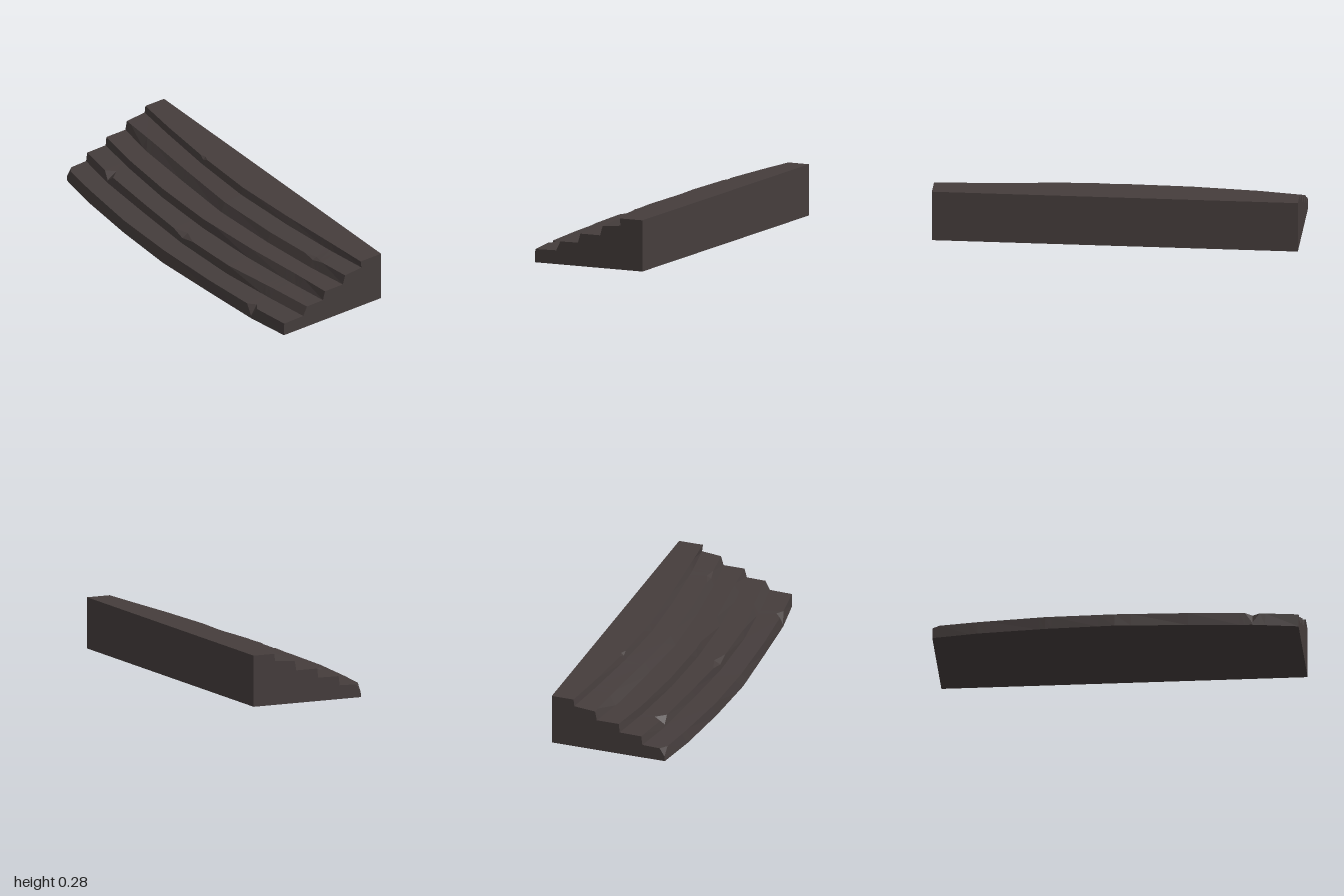
import * as THREE from 'three';

// Plan curves of each worn step, sampled at these x stations
const STATIONS = [-1, -0.75, -0.38, 0, 0.4, 0.75, 1];
const BACK = -0.371;
const STEPS = [
  { y0: 0, y1: 0.073, foot: [0.285, 0.325, 0.357, 0.371, 0.348, 0.325, 0.285], edge: [0.28, 0.315, 0.352, 0.36, 0.345, 0.318, 0.283] },
  { y0: 0.076, y1: 0.127, foot: [0.155, 0.195, 0.22, 0.24, 0.23, 0.19, 0.155], edge: [0.148, 0.185, 0.213, 0.237, 0.222, 0.165, 0.13] },
  { y0: 0.129, y1: 0.18, foot: [0.023, 0.06, 0.095, 0.105, 0.09, 0.055, 0.022], edge: [0.018, 0.058, 0.09, 0.098, 0.07, 0.03, 0.008] },
  { y0: 0.18, y1: 0.232, foot: [-0.11, -0.07, -0.045, -0.024, -0.042, -0.075, -0.113], edge: [-0.12, -0.105, -0.075, -0.05, -0.065, -0.098, -0.128] },
  { y0: 0.243, y1: 0.283, foot: [-0.24, -0.21, -0.175, -0.158, -0.175, -0.205, -0.238], edge: [-0.245, -0.216, -0.185, -0.171, -0.19, -0.216, -0.233] },
];

// Chips broken out of the step edges: half width, drop and depth
const CHIPS = [
  { step: 0, x: -1, w: 0.04, drop: 0.045, depth: 0.025 },
  { step: 0, x: 0.75, w: 0.04, drop: 0.06, depth: 0.033 },
  { step: 1, x: -0.75, w: 0.045, drop: 0.037, depth: 0.05 },
  { step: 1, x: 0, w: 0.09, drop: 0.018, depth: 0.036 },
  { step: 3, x: 0.75, w: 0.07, drop: 0.012, depth: 0.02 },
  { step: 4, x: -0.38, w: 0.035, drop: 0.014, depth: 0.012 },
];

function sample(values, x) {
  let i = 0;
  while (i < STATIONS.length - 2 && x > STATIONS[i + 1]) i++;
  const t = (x - STATIONS[i]) / (STATIONS[i + 1] - STATIONS[i]);
  return THREE.MathUtils.lerp(values[i], values[i + 1], t);
}

// Stepped cross-section as (z, y) points
function profile(x) {
  const pts = [new THREE.Vector2(BACK, 0)];
  STEPS.forEach((s, k) => {
    const foot = sample(s.foot, x), edge = sample(s.edge, x);
    let drop = 0, depth = 0;
    for (const c of CHIPS) {
      if (c.step !== k) continue;
      const amount = Math.max(0, 1 - Math.abs(x - c.x) / c.w);
      if (amount < 1e-6) continue;
      drop = c.drop * amount;
      depth = c.depth * amount;
    }
    const low = THREE.MathUtils.lerp(edge, foot, drop / (s.y1 - s.y0));
    pts.push(
      new THREE.Vector2(foot, s.y0),
      new THREE.Vector2(low, s.y1 - drop),
      new THREE.Vector2(edge - depth, s.y1),
    );
  });
  pts.push(new THREE.Vector2(BACK, 0.283));
  return pts;
}

function stairGeometry() {
  const xs = [...STATIONS];
  for (const c of CHIPS) xs.push(c.x - c.w, c.x + c.w);
  const sections = [...new Set(xs)].filter((x) => x >= -1 && x <= 1).sort((a, b) => a - b)
    .map((x) => profile(x).map((p) => new THREE.Vector3(x, p.y, p.x)));
  const pos = [];
  const tri = (a, b, c) => {
    const n = b.clone().sub(a).cross(c.clone().sub(a));
    if (n.length() > 1e-9) pos.push(...a, ...b, ...c);
  };

  // Skin between neighbouring cross-sections
  for (let i = 0; i < sections.length - 1; i++) {
    const p = sections[i], q = sections[i + 1];
    for (let j = 0; j < p.length; j++) {
      const k = (j + 1) % p.length;
      tri(p[j], q[j], p[k]);
      tri(p[k], q[j], q[k]);
    }
  }

  // End walls
  for (const x of [-1, 1]) {
    const pts = x < 0 ? sections[0] : sections[sections.length - 1];
    const faces = THREE.ShapeUtils.triangulateShape(pts.map((p) => new THREE.Vector2(p.z, p.y)), []);
    for (const [a, b, c] of faces) {
      if (x < 0) tri(pts[a], pts[b], pts[c]);
      else tri(pts[a], pts[c], pts[b]);
    }
  }

  const geo = new THREE.BufferGeometry();
  geo.setAttribute('position', new THREE.Float32BufferAttribute(pos, 3));
  geo.computeVertexNormals();
  return geo;
}

export function createModel() {
  const stone = new THREE.MeshStandardMaterial({ color: 0x453d3c, flatShading: true });
  stone.name = 'dark stone';
  const group = new THREE.Group();
  group.name = 'stoneStairs';
  const steps = new THREE.Mesh(stairGeometry(), stone);
  steps.name = 'steps';
  group.add(steps);
  return group;
}
